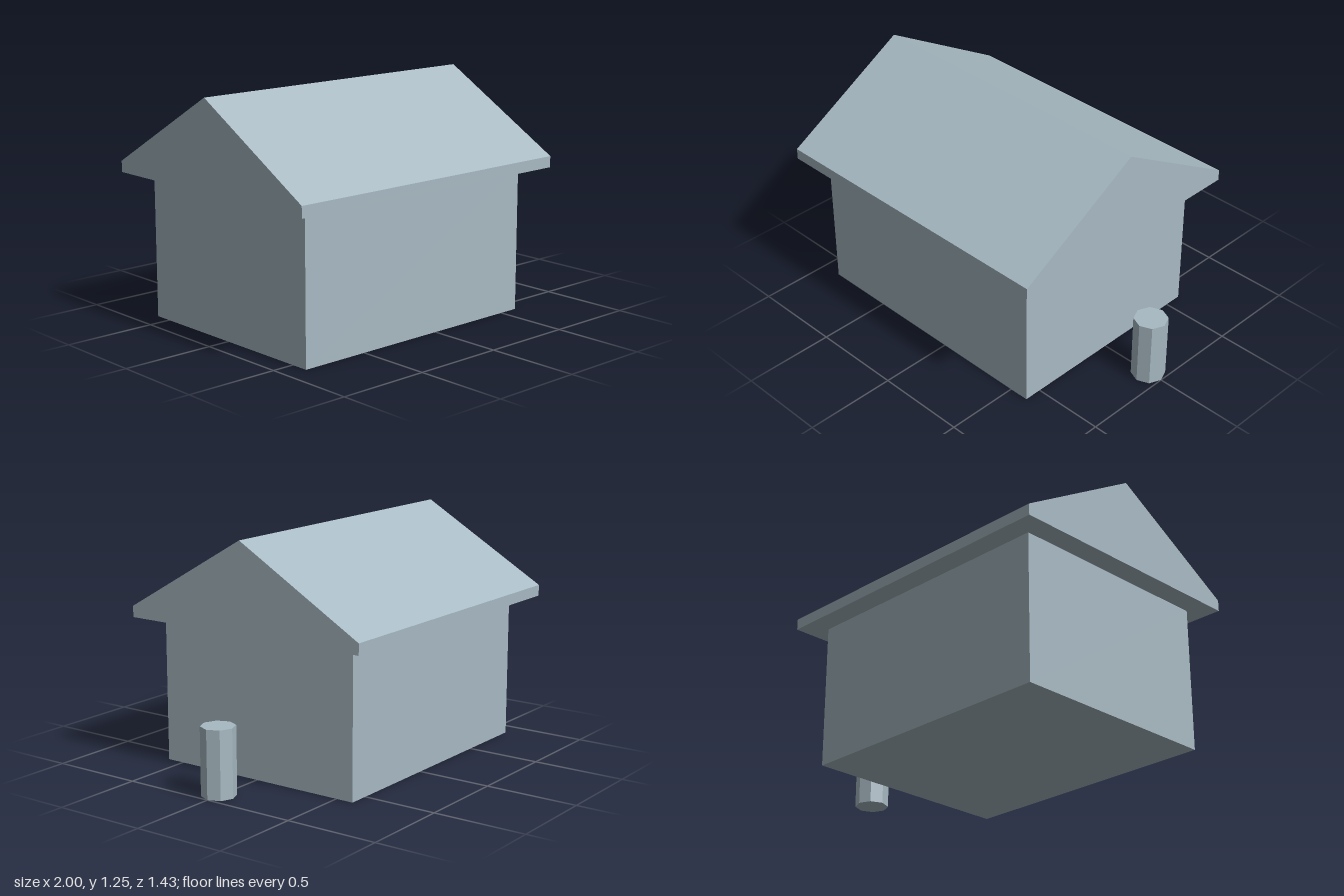
import * as THREE from 'three';

export function createModel() {
  const group = new THREE.Group();
  const blueGrey = new THREE.MeshStandardMaterial({ color: 0xa8bac3, flatShading: true });
  blueGrey.name = 'blueGrey';

  const add = (name, geometry, x, y, z) => {
    const mesh = new THREE.Mesh(geometry, blueGrey);
    mesh.name = name;
    mesh.position.set(x, y, z);
    group.add(mesh);
  };

  // House body
  const wallHeight = 0.78;
  add('walls', new THREE.BoxGeometry(1.49, wallHeight, 1.195), -0.135, wallHeight / 2, 0);

  // Solid gable roof with a short vertical eave, extruded along x
  const gable = new THREE.Shape([
    [-0.715, 0], [0.715, 0], [0.715, 0.06], [0, 0.475], [-0.715, 0.06],
  ].map(([z, y]) => new THREE.Vector2(z, y)));
  const roof = new THREE.ExtrudeGeometry(gable, { depth: 1.73, bevelEnabled: false });
  roof.rotateY(Math.PI / 2);
  add('roof', roof, -1, wallHeight, 0);

  // Free-standing octagonal post beside the gable wall
  add('post', new THREE.CylinderGeometry(0.09, 0.09, 0.36, 8), 0.91, 0.18, 0);

  return group;
}
